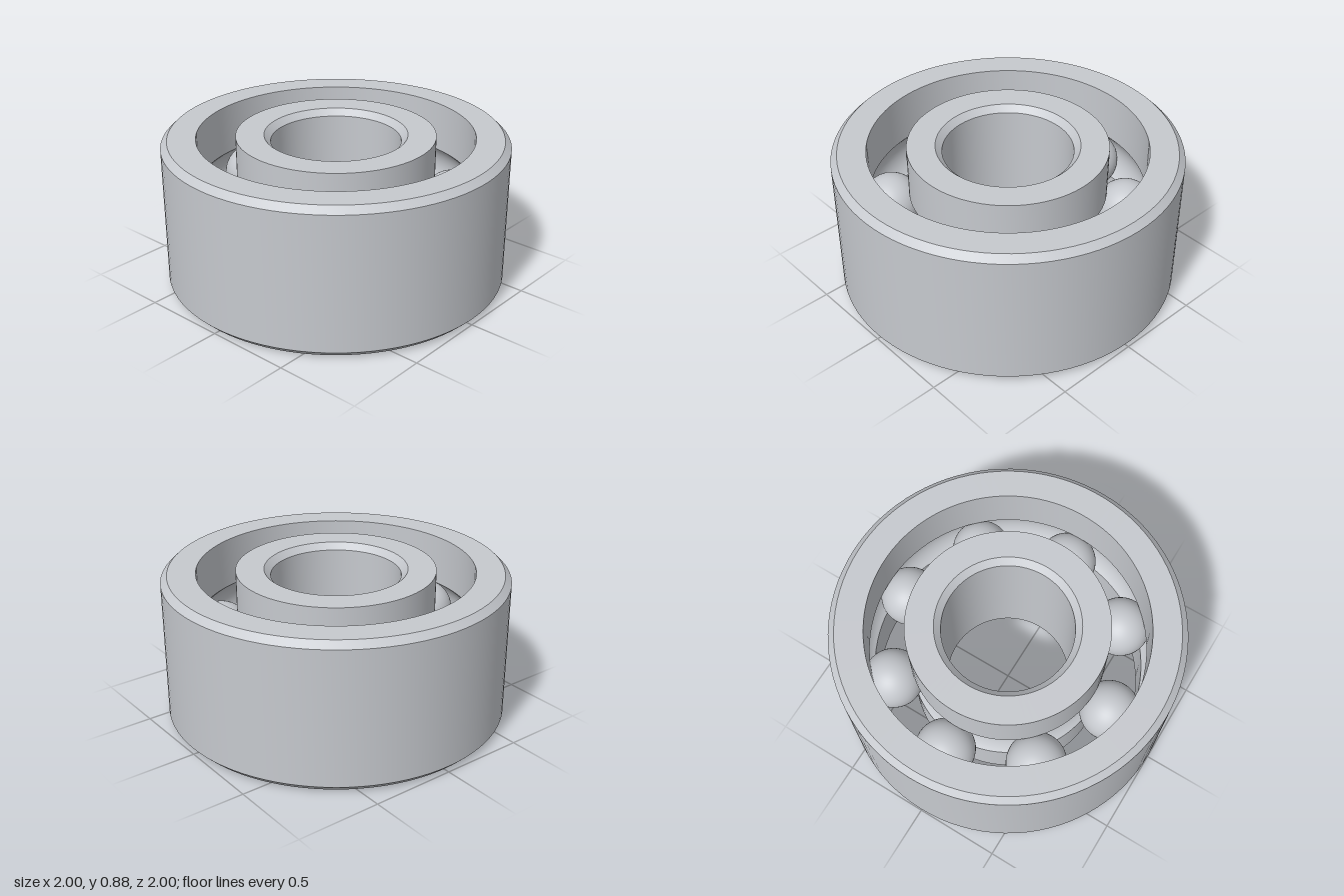
import * as THREE from 'three';
import { toCreasedNormals } from 'three/addons/utils/BufferGeometryUtils.js';

const HEIGHT = 0.875, MID = HEIGHT / 2, CHAMFER = 0.0375;
const BORE = 0.375, INNER_R = 0.575, OUTER_BORE = 0.8, OUTER_R = 1;
const PITCH = 0.6875, BALL_R = 0.175, GROOVE_R = 0.177, BALLS = 8;

export function createModel() {
  const model = new THREE.Group();
  model.name = 'ballBearing';
  const steel = new THREE.MeshStandardMaterial({ color: 0xc6c9ce });
  steel.name = 'steel';

  // Arc of the ball groove where it cuts a race wall of the given radius
  const groove = (wall) => {
    const half = Math.acos(Math.abs(wall - PITCH) / GROOVE_R);
    const side = Math.sign(wall - PITCH);
    return Array.from({ length: 17 }, (_, i) => {
      const a = -half + (2 * half * i) / 16;
      return [PITCH + side * GROOVE_R * Math.cos(a), MID + side * GROOVE_R * Math.sin(a)];
    });
  };

  // Closed ring turned from an anticlockwise (radius, height) profile
  const ring = (name, profile) => {
    const points = [...profile, profile[0]].map(([r, y]) => new THREE.Vector2(r, y));
    const geometry = toCreasedNormals(new THREE.LatheGeometry(points, 96), 0.5);
    const mesh = new THREE.Mesh(geometry, steel);
    mesh.name = name;
    model.add(mesh);
  };

  // Outer race: chamfered outside, groove inside
  ring('outerRace', [
    [OUTER_BORE, 0], [OUTER_R - CHAMFER, 0], [OUTER_R, CHAMFER],
    [OUTER_R, HEIGHT - CHAMFER], [OUTER_R - CHAMFER, HEIGHT], [OUTER_BORE, HEIGHT],
    ...groove(OUTER_BORE).reverse(),
  ]);

  // Inner race: groove outside, chamfered bore
  ring('innerRace', [
    [BORE + CHAMFER, 0], [INNER_R, 0],
    ...groove(INNER_R).reverse(),
    [INNER_R, HEIGHT], [BORE + CHAMFER, HEIGHT],
    [BORE, HEIGHT - CHAMFER], [BORE, CHAMFER],
  ]);

  // Balls evenly spaced around the pitch circle
  const ballGeometry = new THREE.SphereGeometry(BALL_R, 40, 24);
  for (let i = 0; i < BALLS; i++) {
    const a = (i / BALLS) * Math.PI * 2;
    const ball = new THREE.Mesh(ballGeometry, steel);
    ball.name = `ball${i + 1}`;
    ball.position.set(PITCH * Math.cos(a), MID, PITCH * Math.sin(a));
    model.add(ball);
  }
  return model;
}
